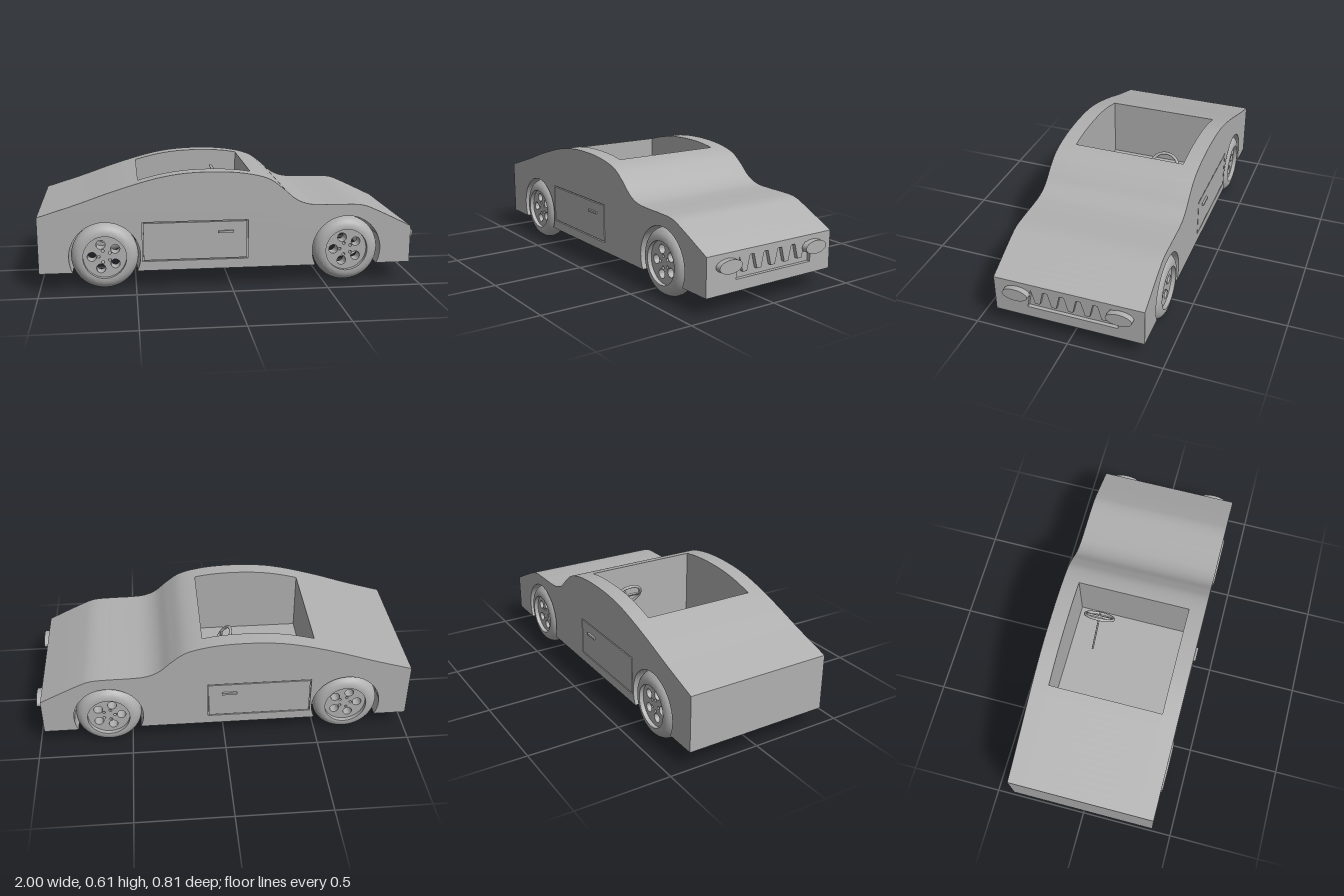
import * as THREE from 'three';
import { toCreasedNormals } from 'three/addons/utils/BufferGeometryUtils.js';

const V = (x, y) => new THREE.Vector2(x, y);
const WHEEL_X = [-0.66, 0.62], WHEEL_Y = 0.18, WELL_R = 0.185;
const COCKPIT = { x0: -0.48, x1: 0.11, floor: 0.24, half: 0.307 };

export function createModel() {
  const car = new THREE.Group();
  car.name = 'car';
  const grey = new THREE.MeshStandardMaterial({ color: 0xb0b0b0 });
  grey.name = 'plain grey';

  const add = (name, geometry, parent = car) => {
    const mesh = new THREE.Mesh(geometry, grey);
    mesh.name = name;
    parent.add(mesh);
    return mesh;
  };
  const extrude = (shape, z0, z1) => {
    const g = new THREE.ExtrudeGeometry(shape, { depth: z1 - z0, bevelEnabled: false, curveSegments: 24 });
    g.translate(0, 0, z0);
    return toCreasedNormals(g, 0.45);
  };

  // Roof and bonnet line, from tail to nose
  const top = new THREE.SplineCurve([
    V(-1, 0.4), V(-0.8, 0.462), V(-0.6, 0.53), V(-0.4, 0.587), V(-0.25, 0.612), V(-0.09, 0.618),
    V(0.06, 0.608), V(0.19, 0.578), V(0.27, 0.525), V(0.34, 0.465), V(0.41, 0.436), V(0.5, 0.429),
    V(0.6, 0.428), V(0.7, 0.422), V(0.78, 0.392), V(0.95, 0.31),
  ]).getPoints(90);
  const topAt = (x) => {
    const i = top.findIndex((p) => p.x >= x), a = top[i - 1], b = top[i];
    return a.y + (b.y - a.y) * (x - a.x) / (b.x - a.x);
  };

  // Side outline with both wheel arches, optionally notched for the cockpit
  const bodyShape = (notched) => {
    const { x0, x1, floor } = COCKPIT;
    const pts = [V(-1, 0.1)];
    const dip = Math.asin((WHEEL_Y - 0.1) / WELL_R);
    for (const cx of WHEEL_X) {
      for (let i = 0; i <= 36; i++) {
        const a = Math.PI + dip - (Math.PI + 2 * dip) * i / 36;
        pts.push(V(cx + WELL_R * Math.cos(a), WHEEL_Y + WELL_R * Math.sin(a)));
      }
    }
    pts.push(V(0.95, 0.1));
    const line = notched
      ? [...top.filter((p) => p.x < x0), V(x0, topAt(x0)), V(x0, floor), V(x1, floor), V(x1, topAt(x1)),
        ...top.filter((p) => p.x > x1)]
      : top;
    return new THREE.Shape([...pts, ...[...line].reverse()]);
  };

  const rect = (x0, x1, y0, y1) => [V(x0, y0), V(x1, y0), V(x1, y1), V(x0, y1)];

  // Body: middle with the cockpit, solid flanks, outer skins with sunken door seams
  add('bodyMiddle', extrude(bodyShape(true), -COCKPIT.half, COCKPIT.half));
  const skin = bodyShape(false);
  skin.holes.push(new THREE.Path(rect(-0.465, 0.09, 0.15, 0.36)));
  const door = new THREE.Shape(rect(-0.459, 0.084, 0.156, 0.354));
  for (const [side, s] of [['left', 1], ['right', -1]]) {
    const layer = (name, shape, a, b) => add(side + name, extrude(shape, Math.min(a * s, b * s), Math.max(a * s, b * s)));
    layer('Flank', bodyShape(false), COCKPIT.half, 0.385);
    layer('Skin', skin, 0.385, 0.395);
    layer('Door', door, 0.385, 0.395);
    add(side + 'DoorHandle', new THREE.BoxGeometry(0.08, 0.012, 0.02)).position.set(-0.027, 0.3, 0.396 * s);
  }

  // Nose plate with a toothed grille opening; shape x is turned to face along -z
  const nose = new THREE.Shape(rect(-0.395, 0.395, 0.1, 0.3));
  const teeth = [V(-0.218, 0.16), V(-0.198, 0.268)];
  for (let i = 0; i < 5; i++) {
    const x = -0.176 + i * 0.088;
    teeth.push(V(x, 0.19), V(x + 0.025, 0.19), V(x + 0.043, 0.268), V(x + 0.067, 0.268));
  }
  teeth.push(V(0.26, 0.2), V(0.26, 0.16));
  nose.holes.push(new THREE.Path(teeth));
  const noseGeo = new THREE.ExtrudeGeometry(nose, { depth: 0.02, bevelEnabled: false });
  const np = noseGeo.attributes.position;
  for (let i = 0; i < np.count; i++) {
    if (np.getY(i) > 0.299 && np.getZ(i) < 0.01) np.setY(i, 0.31); // continue the bonnet slope
  }
  noseGeo.computeVertexNormals();
  noseGeo.rotateY(Math.PI / 2);
  add('nosePlate', noseGeo).position.x = 0.95;

  // Oval headlights
  for (const s of [1, -1]) {
    const g = new THREE.CylinderGeometry(1, 1, 0.04, 48);
    g.rotateZ(-Math.PI / 2).scale(1, 0.034, 0.068);
    add(s > 0 ? 'leftHeadlight' : 'rightHeadlight', g).position.set(0.98, 0.24, 0.272 * s);
  }

  // Wheel: round tyre with a recessed rim pierced by five large and five small holes
  const section = [V(0.112, -0.058)];
  for (let i = 0; i <= 20; i++) {
    const a = -Math.PI / 2 + Math.PI * i / 20;
    section.push(V(0.117 + 0.058 * Math.cos(a), 0.058 * Math.sin(a)));
  }
  section.push(V(0.112, 0.058), V(0.112, -0.058));
  const tyreGeo = toCreasedNormals(new THREE.LatheGeometry(section, 64).rotateX(Math.PI / 2), 0.5);
  const rim = new THREE.Shape().absarc(0, 0, 0.113, 0, Math.PI * 2);
  for (let i = 0; i < 5; i++) {
    const a = Math.PI + i * Math.PI * 0.4;
    for (const [d, r] of [[0.067, 0.024], [0.032, 0.008]]) {
      rim.holes.push(new THREE.Path().absarc(d * Math.cos(a), d * Math.sin(a), r, 0, Math.PI * 2));
    }
  }
  const rimGeo = extrude(rim, -0.035, 0.035);
  WHEEL_X.forEach((x, i) => {
    for (const s of [1, -1]) {
      const wheel = new THREE.Group();
      wheel.name = (i ? 'front' : 'rear') + (s > 0 ? 'Left' : 'Right') + 'Wheel';
      wheel.position.set(x, WHEEL_Y, 0.345 * s);
      add('tyre', tyreGeo, wheel);
      add('rim', rimGeo, wheel);
      car.add(wheel);
    }
  });

  // Tilted steering wheel with a crossbar and column; local z is the column axis
  const steering = new THREE.Group();
  steering.name = 'steeringWheel';
  add('steeringRing', new THREE.TorusGeometry(0.08, 0.008, 12, 48), steering);
  add('crossbar', new THREE.BoxGeometry(0.16, 0.012, 0.01), steering);
  add('column', new THREE.CylinderGeometry(0.005, 0.005, 0.22, 12).rotateX(Math.PI / 2), steering).position.z = -0.08;
  steering.position.set(-0.008, 0.48, -0.163);
  steering.lookAt(-0.008 + 0.84, 0.48 + 0.54, -0.163);
  car.add(steering);

  // Small ring fitting behind the front left wheel
  const fitting = new THREE.Group();
  fitting.name = 'wheelFitting';
  add('fittingRing', new THREE.TorusGeometry(0.034, 0.007, 10, 32), fitting);
  add('fittingBar', new THREE.BoxGeometry(0.066, 0.01, 0.01), fitting);
  fitting.position.set(0.68, 0.145, 0.268);
  fitting.rotation.set(0.3, 0.3, 0);
  car.add(fitting);

  return car;
}
